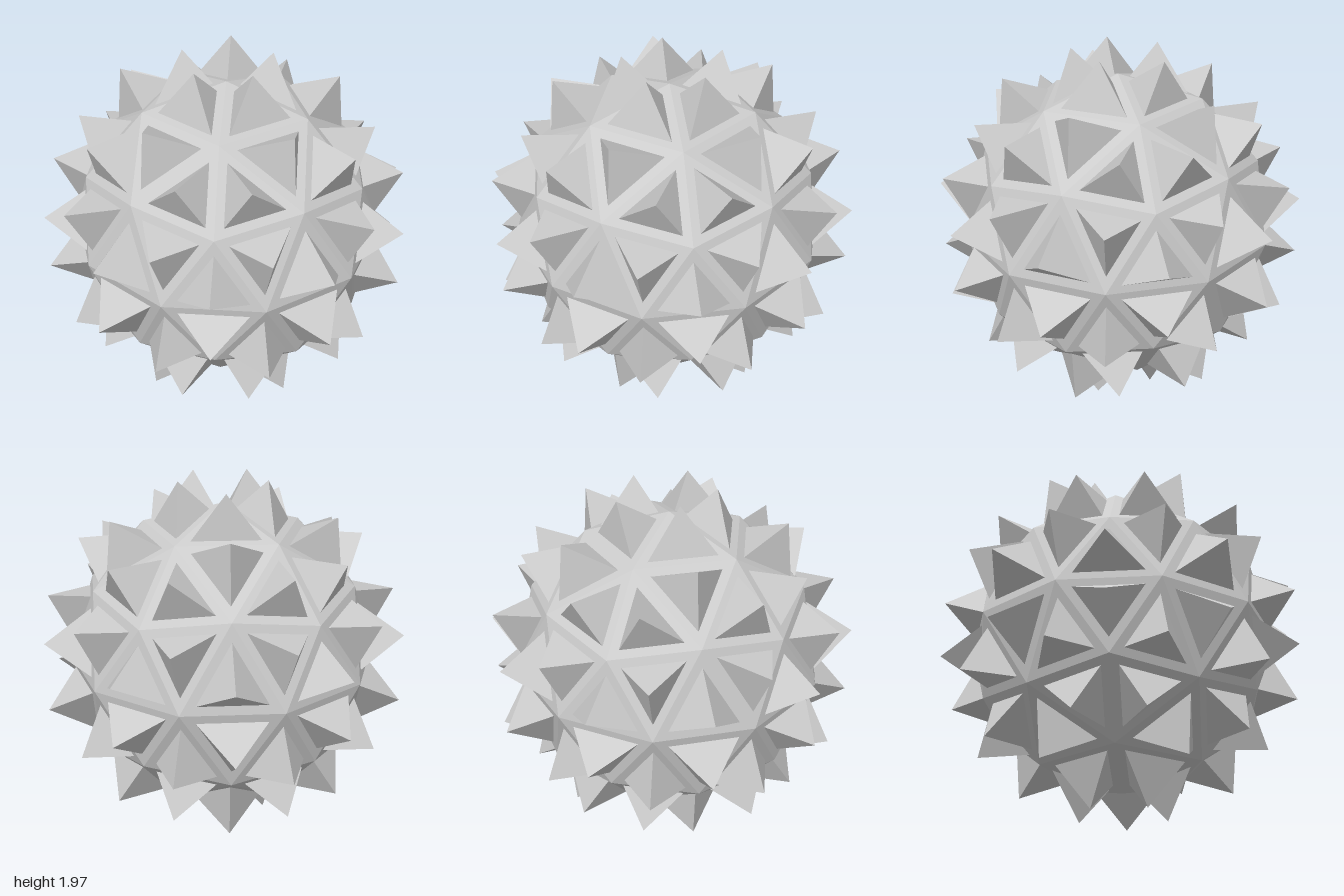
import * as THREE from 'three';

const R = 0.85;          // radius of the geodesic shell
const CENTRE_Y = 0.984;  // height of the ball's centre
const INSET = 0.69;      // spike base size relative to its facet
const TIP_MID = 1.018, TIP_CORNER = 1.014; // tip distance from the centre

// unit direction from azimuth and latitude in degrees
function dir(az, lat) {
  const a = THREE.MathUtils.degToRad(az), l = THREE.MathUtils.degToRad(lat);
  return new THREE.Vector3(Math.cos(l) * Math.cos(a), Math.sin(l), Math.cos(l) * Math.sin(a));
}

const centroid = (a, b, c) => a.clone().add(b).add(c).divideScalar(3);
const midpoint = (a, b) => a.clone().add(b).normalize();

// icosahedron faces reaching the upper half, each split in four
function domeFacets() {
  const LAT = THREE.MathUtils.radToDeg(Math.atan(0.5));
  const pole = dir(0, 90);
  const facets = [];
  const split = (a, b, c) => {
    const ab = midpoint(a, b), bc = midpoint(b, c), ca = midpoint(c, a);
    facets.push({ pts: [a, ab, ca] }, { pts: [b, bc, ab] }, { pts: [c, ca, bc] },
      { pts: [ab, bc, ca], mid: true });
  };
  for (let k = 0; k < 5; k++) {
    const az = 72 * k;
    const v0 = dir(az, LAT), v1 = dir(az + 72, LAT);
    const low0 = dir(az - 36, -LAT), low1 = dir(az + 36, -LAT);
    split(pole, v0, v1);
    split(v0, v1, low1);
    split(v0, low0, low1);
  }
  return facets.filter((f) => centroid(...f.pts).y > 0.01);
}

// spike tip: above the facet centre; those round the pole lean inwards, save one
function spikeTip(centre, mid) {
  const tip = centre.clone().setLength(mid ? TIP_MID : TIP_CORNER);
  if (tip.y > 0.9) {
    const az = Math.atan2(centre.z, centre.x);
    if (Math.abs(az + Math.PI / 5) < 0.1) return tip.setLength(TIP_MID);
    return new THREE.Vector3(0.248 * Math.cos(az), 0.984, 0.248 * Math.sin(az));
  }
  return tip;
}

function flatMesh(points, name) {
  const geometry = new THREE.BufferGeometry().setFromPoints(points);
  geometry.computeVertexNormals();
  const mesh = new THREE.Mesh(geometry,
    new THREE.MeshStandardMaterial({ color: 0xcccccc, flatShading: true }));
  mesh.name = name;
  return mesh;
}

function buildDome(name) {
  const frame = [], spikes = [];
  for (const { pts, mid } of domeFacets()) {
    const outer = pts.map((p) => p.clone().multiplyScalar(R));
    const centre = centroid(...outer);
    // keep corners counter-clockwise seen from outside
    const normal = outer[1].clone().sub(outer[0]).cross(outer[2].clone().sub(outer[0]));
    if (normal.dot(centre) < 0) outer.reverse();
    const inner = outer.map((p) => centre.clone().lerp(p, INSET));
    const tip = spikeTip(centre, mid);
    for (let i = 0; i < 3; i++) {
      const j = (i + 1) % 3;
      frame.push(outer[i], outer[j], inner[j], outer[i], inner[j], inner[i]);
      spikes.push(inner[i], inner[j], tip);
    }
  }
  const dome = new THREE.Group();
  dome.name = name;
  dome.add(flatMesh(frame, 'facetFrame'), flatMesh(spikes, 'spikes'));
  return dome;
}

export function createModel() {
  const model = new THREE.Group();
  model.name = 'spikedBall';
  const upper = buildDome('upperHalf');
  const lower = buildDome('lowerHalf');
  lower.rotation.x = Math.PI; // same half turned over
  upper.position.y = lower.position.y = CENTRE_Y;
  model.add(upper, lower);
  return model;
}
